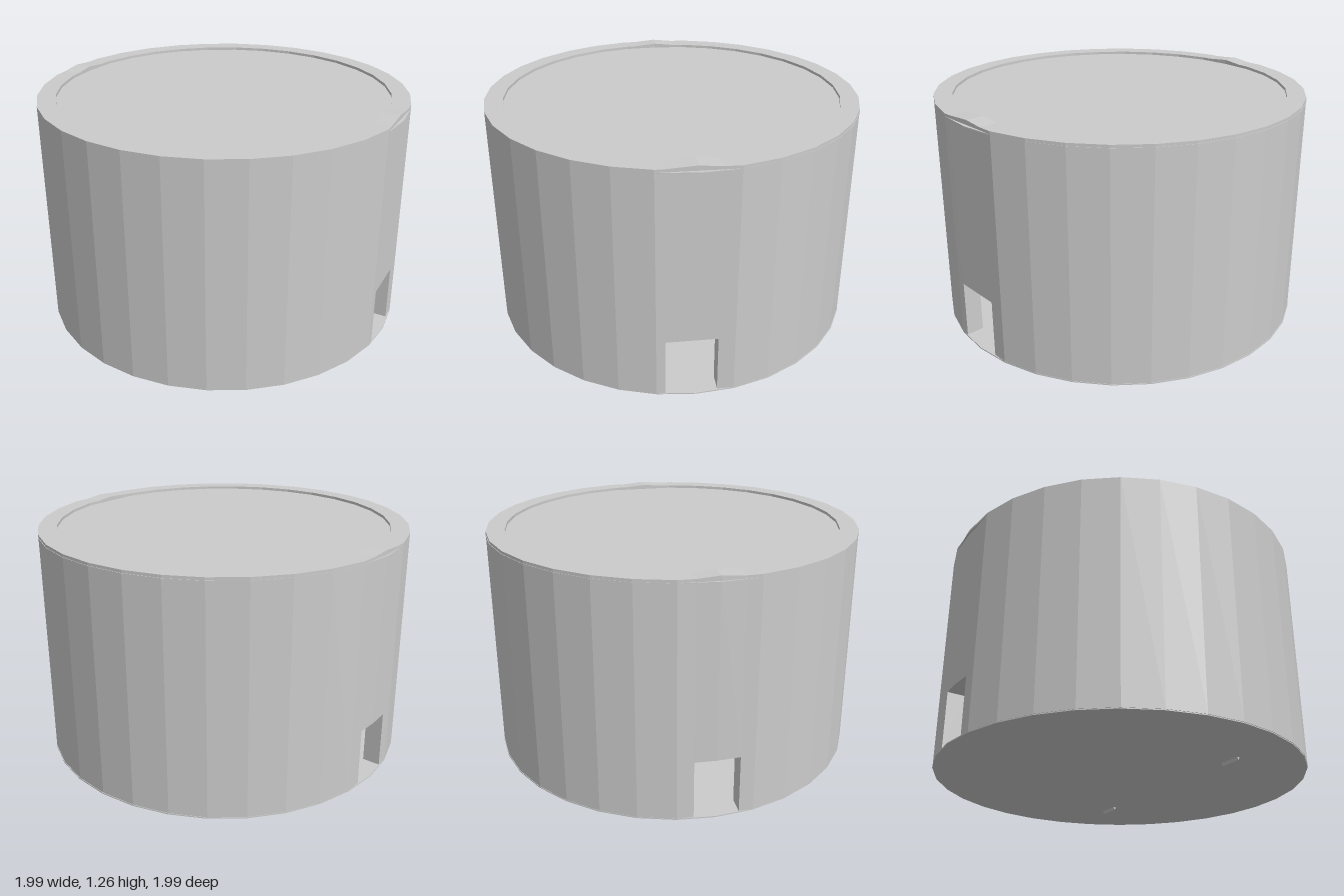
import * as THREE from 'three';

const FLOOR = 0.02, LINTEL = 0.33, TOP = 1.25, SIDES = 32;
const material = new THREE.MeshStandardMaterial({ color: 0xcccccc, flatShading: true });

function add(group, name, geometry, x = 0, y = 0, z = 0) {
  const mesh = new THREE.Mesh(geometry, material);
  mesh.name = name;
  mesh.position.set(x, y, z);
  group.add(mesh);
  return mesh;
}

// Plan of the wall: outer and inner points, door flag for the span that follows
function wallPlan() {
  const plan = [];
  const put = (ox, ix, z, door, top = TOP) =>
    plan.push({ o: [ox, z], i: [ix, z], door, top });
  for (let k = 0; k < SIDES; k++) {
    if (k === 0) {
      put(0.976, 0.88, -0.11, true);
      put(0.976, 0.88, 0, true, 1.26);
      put(0.976, 0.88, 0.15, false);
    } else if (k === SIDES / 2) {
      put(-0.979, -0.884, 0.12, true);
      put(-0.985, -0.892, 0, true, 1.26);
      put(-0.979, -0.884, -0.11, false);
    } else {
      const a = (k / SIDES) * Math.PI * 2, c = Math.cos(a), s = Math.sin(a);
      plan.push({ o: [0.995 * c, 0.995 * s], i: [0.897 * c, 0.897 * s], door: false, top: TOP });
    }
  }
  return plan;
}

// Thick faceted wall with two door openings
function wallGeometry() {
  const plan = wallPlan(), pos = [];
  const at = ([x, z], y) => [x, y, z];
  const quad = (a, b, c, d) => pos.push(...a, ...b, ...c, ...a, ...c, ...d);
  plan.forEach((p, k) => {
    const q = plan[(k + 1) % plan.length];
    const prev = plan[(k + plan.length - 1) % plan.length];
    const y = p.door ? LINTEL : FLOOR;
    quad(at(p.o, y), at(p.o, p.top), at(q.o, q.top), at(q.o, y));
    quad(at(q.i, y), at(q.i, q.top), at(p.i, p.top), at(p.i, y));
    quad(at(p.o, p.top), at(p.i, p.top), at(q.i, q.top), at(q.o, q.top));
    quad(at(q.o, y), at(q.i, y), at(p.i, y), at(p.o, y));
    // Door jambs where an opening starts or ends
    const jamb = [at(p.o, FLOOR), at(p.i, FLOOR), at(p.i, LINTEL), at(p.o, LINTEL)];
    if (p.door && !prev.door) quad(...jamb.reverse());
    if (!p.door && prev.door) quad(...jamb);
  });
  const geometry = new THREE.BufferGeometry();
  geometry.setAttribute('position', new THREE.Float32BufferAttribute(pos, 3));
  geometry.computeVertexNormals();
  return geometry;
}

export function createModel() {
  const group = new THREE.Group();
  group.name = 'roundBuilding';

  add(group, 'wall', wallGeometry());

  // Floor and recessed roof discs
  add(group, 'floor', new THREE.CylinderGeometry(0.995, 0.995, 0.006, SIDES), 0, 0.018, -0.003);
  add(group, 'roof', new THREE.CylinderGeometry(0.995, 0.995, 0.006, SIDES), 0, 1.232, -0.003);

  // Interior post and shelf seen through the doorways
  add(group, 'post', new THREE.BoxGeometry(0.06, 1.21, 0.06), 0, 0.625, 0.04);
  add(group, 'shelf', new THREE.BoxGeometry(0.3, 0.02, 0.5), 0, 0.21, 0.02);

  // Small wedge feet under the floor
  for (const z of [0.57, -0.55]) {
    const wedge = new THREE.CylinderGeometry(0.012, 0.012, 0.12, 3);
    wedge.rotateX(Math.PI / 2);
    wedge.computeBoundingBox();
    add(group, 'foot', wedge, 0.29, -wedge.boundingBox.min.y, z);
  }
  return group;
}
